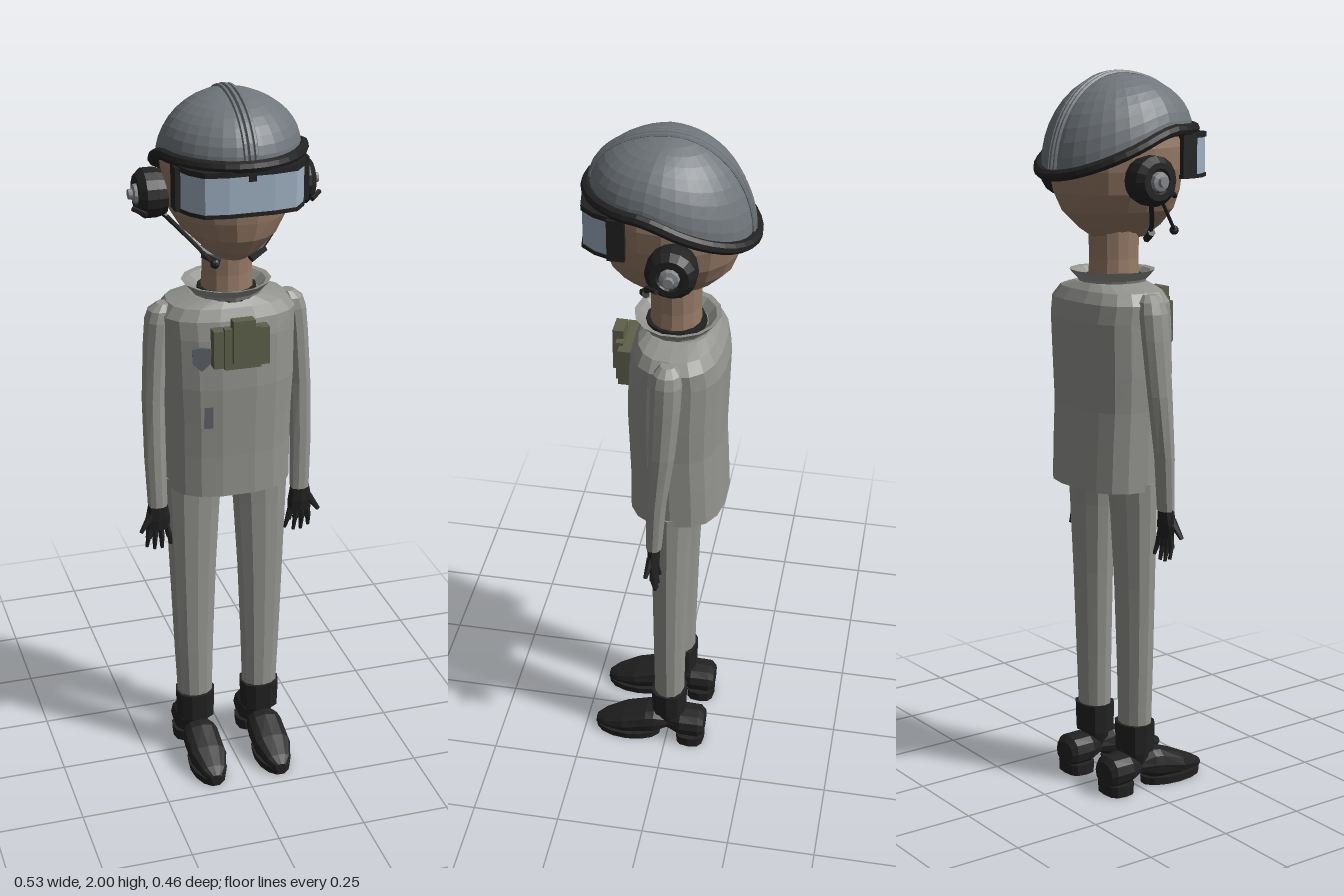
import * as THREE from 'three';

const mat = (name, color, side = THREE.FrontSide) => {
  const m = new THREE.MeshStandardMaterial({ color, side });
  m.name = name;
  return m;
};

export function createModel() {
  const suit = mat('suit grey', 0x93938f, THREE.DoubleSide);
  const shell = mat('helmet grey', 0x70767b, THREE.DoubleSide);
  const black = mat('black', 0x222222);
  const skin = mat('skin', 0x967a66);
  const glass = mat('visor glass', 0x9fb0c2);
  const olive = mat('pouch olive', 0x5e604b);
  const metal = mat('metal', 0x85888b);
  const badge = mat('badge', 0x62656c);

  const model = new THREE.Group();
  model.name = 'helmetedPilot';

  // Adds a faceted mesh
  const add = (name, geo, material, parent = model) => {
    const g = geo.index ? geo.toNonIndexed() : geo;
    g.computeVertexNormals();
    const mesh = new THREE.Mesh(g, material);
    mesh.name = name;
    parent.add(mesh);
    return mesh;
  };
  const group = (name) => {
    const g = new THREE.Group();
    g.name = name;
    model.add(g);
    return g;
  };

  // Closed skin over superellipse rings [y, cx, cz, rx, rz], lowest first
  const loft = (rings, n = 14, p = 2) => {
    const pos = [], idx = [];
    const pw = (v) => Math.sign(v) * Math.abs(v) ** (2 / p);
    for (const [y, cx, cz, rx, rz] of rings)
      for (let j = 0; j < n; j++) {
        const t = (j / n) * Math.PI * 2;
        pos.push(cx + rx * pw(Math.cos(t)), y, cz + rz * pw(Math.sin(t)));
      }
    const last = rings.length - 1;
    for (let j = 0; j < n; j++) {
      const k = (j + 1) % n;
      for (let i = 0; i < last; i++) {
        const a = i * n + j, b = i * n + k, c = a + n, d = b + n;
        idx.push(a, c, b, b, c, d);
      }
      idx.push((last + 1) * n, j, k, (last + 1) * n + 1, last * n + k, last * n + j);
    }
    for (const r of [rings[0], rings[last]]) pos.push(r[1], r[0], r[2]);
    const g = new THREE.BufferGeometry();
    g.setAttribute('position', new THREE.Float32BufferAttribute(pos, 3));
    g.setIndex(idx);
    return g;
  };

  // Tapered rod between two points
  const rod = (a, b, r0, r1 = r0, n = 6) => {
    const p = new THREE.Vector3(...a), q = new THREE.Vector3(...b);
    const d = q.clone().sub(p);
    const g = new THREE.CylinderGeometry(r1, r0, d.length(), n);
    g.applyQuaternion(new THREE.Quaternion().setFromUnitVectors(new THREE.Vector3(0, 1, 0), d.normalize()));
    const c = p.add(q).multiplyScalar(0.5);
    return g.translate(c.x, c.y, c.z);
  };
  const box = (w, h, d, x, y, z) => new THREE.BoxGeometry(w, h, d).translate(x, y, z);

  // Jacket, collar and neck
  add('jacket', loft([
    [0.88, 0, -0.023, 0.175, 0.134], [1.0, 0, -0.021, 0.176, 0.131], [1.1, 0, -0.017, 0.177, 0.13],
    [1.2, 0, -0.017, 0.182, 0.133], [1.34, 0, -0.022, 0.185, 0.132], [1.39, 0, -0.022, 0.188, 0.122],
    [1.42, 0, -0.02, 0.165, 0.105], [1.438, 0, -0.02, 0.1, 0.085]], 18, 2.6), suit);
  add('collar', new THREE.LatheGeometry([
    new THREE.Vector2(0.088, 1.42), new THREE.Vector2(0.098, 1.445), new THREE.Vector2(0.122, 1.47),
    new THREE.Vector2(0.108, 1.467), new THREE.Vector2(0.085, 1.445)], 14)
    .scale(1, 1, 0.95).translate(0, 0, -0.015), suit);
  add('neckBand', loft([[1.42, 0, -0.01, 0.085, 0.085], [1.455, 0, -0.01, 0.08, 0.08]]), black);
  add('neck', loft([[1.42, 0, -0.01, 0.073, 0.07], [1.5, 0, -0.01, 0.068, 0.066], [1.6, 0, -0.01, 0.07, 0.07]]), skin);

  // Head
  add('head', loft([
    [1.555, 0, 0.01, 0.05, 0.08], [1.585, 0, 0.01, 0.082, 0.125], [1.63, 0, 0.004, 0.128, 0.162],
    [1.68, 0, 0, 0.158, 0.177], [1.74, 0, -0.002, 0.173, 0.185], [1.8, 0, -0.003, 0.177, 0.188],
    [1.86, 0, -0.003, 0.165, 0.175], [1.91, 0, -0.003, 0.13, 0.14]], 18), skin);

  // Helmet dome above a brim that drops toward the back
  const brimY = (z) => 1.845 + Math.min(0, z - 0.03) * 0.47;
  const dome = (a, t, grow = 0) => {
    const z0 = 0.21 * Math.cos(a), y0 = brimY(z0), c = Math.cos(t * Math.PI / 2);
    return new THREE.Vector3((0.188 + grow) * Math.sin(a) * c,
      y0 + (1.992 + grow - y0) * Math.sin(t * Math.PI / 2), (z0 + grow * Math.cos(a)) * c);
  };
  const shellGeo = new THREE.PlaneGeometry(1, 1, 32, 10);
  const sp = shellGeo.attributes.position;
  for (let i = 0; i < sp.count; i++) {
    const v = dome(sp.getX(i) * Math.PI * 2, sp.getY(i) + 0.5);
    sp.setXYZ(i, v.x, v.y, v.z);
  }
  const helmet = group('helmet');
  add('helmetShell', shellGeo, shell, helmet);
  const brimPts = Array.from({ length: 28 }, (_, i) => {
    const a = (i / 28) * Math.PI * 2, z = 0.216 * Math.cos(a);
    return new THREE.Vector3(0.191 * Math.sin(a), brimY(z), z);
  });
  add('helmetBrim', new THREE.TubeGeometry(new THREE.CatmullRomCurve3(brimPts, true), 40, 0.016, 8, true), black, helmet);
  // Crest ribs over the crown
  for (const x of [-0.014, 0, 0.014]) {
    const arc = Array.from({ length: 21 }, (_, i) => {
      const v = i <= 10 ? dome(0, i / 10) : dome(Math.PI, 2 - i / 10);
      return v.setX(x);
    });
    add('crestRib', new THREE.TubeGeometry(new THREE.CatmullRomCurve3(arc), 24, x ? 0.006 : 0.008, 6), shell, helmet);
  }

  // Wraparound visor: bands extruded upward along a bent outline
  const band = (half, inset, y0, y1, grow = 0) => {
    const line = [...half.map(([x, z]) => [-x, z]), ...half.slice().reverse()];
    const outer = line.map(([x, z]) => new THREE.Vector2(x * (1 + grow), -z * (1 + grow)));
    const inner = line.map(([x, z]) => new THREE.Vector2(x * inset, -z * inset)).reverse();
    return new THREE.ExtrudeGeometry(new THREE.Shape([...outer, ...inner]), { depth: y1 - y0, bevelEnabled: false })
      .rotateX(-Math.PI / 2).translate(0, y0, 0);
  };
  const visor = group('visor');
  const outline = [[0.168, 0.1], [0.164, 0.135], [0.15, 0.17], [0.12, 0.207], [0.06, 0.217]];
  add('visorGlass', band(outline, 0.94, 1.724, 1.83), glass, visor);
  add('visorLowerFrame', band(outline, 0.92, 1.716, 1.726, 0.015), black, visor);
  add('visorUpperFrame', band(outline, 0.92, 1.822, 1.836, 0.015), black, visor);
  add('visorCatch', box(0.02, 0.02, 0.008, 0, 1.818, 0.218), black, visor);

  for (const s of [1, -1]) {
    const side = s > 0 ? 'left' : 'right';
    add(side + 'VisorHinge', box(0.016, 0.115, 0.045, s * 0.17, 1.775, 0.112), black, visor);

    // Headset ear cup with metal hub
    const ear = group(side + 'Earphone');
    const turned = (pts, n) => new THREE.LatheGeometry(pts.map((p) => new THREE.Vector2(...p)), n)
      .rotateZ(-s * Math.PI / 2).translate(0, 1.72, -0.034);
    add('earCup', turned([[0, 0.165], [0.06, 0.165], [0.066, 0.19], [0.066, 0.222], [0.05, 0.24], [0.034, 0.24], [0.03, 0.234], [0, 0.234]], 16), black, ear);
    add('earHub', turned([[0, 0.23], [0.027, 0.23], [0.025, 0.246], [0.014, 0.249], [0.013, 0.26], [0, 0.26]], 10), metal, ear);
    add('earLever', rod([s * 0.225, 1.68, 0.025], [s * 0.255, 1.69, -0.005], 0.007), black, ear);

    // Chin strap
    const strap = new THREE.CatmullRomCurve3([[0.18, 1.675, -0.02], [0.15, 1.645, 0.005], [0.09, 1.585, 0.05], [0.045, 1.55, 0.068]]
      .map(([x, y, z]) => new THREE.Vector3(s * x, y, z)));
    add(side + 'ChinStrap', new THREE.TubeGeometry(strap, 10, 0.007, 6), black);
    add(side + 'StrapEnd', rod([s * 0.085, 1.57, 0.055], [s * 0.042, 1.548, 0.07], 0.011), black);

    // Sleeve
    add(side + 'Sleeve', loft([
      [0.83, s * 0.207, 0.015, 0.028, 0.022], [0.98, s * 0.21, 0.007, 0.031, 0.027],
      [1.15, s * 0.209, -0.008, 0.032, 0.036], [1.3, s * 0.2, -0.016, 0.033, 0.041],
      [1.37, s * 0.193, -0.018, 0.034, 0.042], [1.4, s * 0.185, -0.018, 0.032, 0.036],
      [1.418, s * 0.175, -0.018, 0.018, 0.02]], 10), suit);

    // Gloved hand with splayed fingers
    const hand = group(side + 'Hand');
    add('palm', loft([[0.755, s * 0.208, 0.014, 0.034, 0.012], [0.79, s * 0.208, 0.016, 0.036, 0.017],
      [0.845, s * 0.207, 0.016, 0.026, 0.019]], 8), black, hand);
    [[0.183, 0.168, 0.7], [0.2, 0.194, 0.69], [0.216, 0.216, 0.69], [0.231, 0.238, 0.7]].forEach(([x0, x1, y]) => {
      add('finger', rod([s * x0, 0.765, 0.014], [s * (x0 + x1) / 2, 0.73, 0.014], 0.009), black, hand);
      add('fingertip', rod([s * (x0 + x1) / 2, 0.735, 0.014], [s * x1, y, 0.006], 0.008, 0.005), black, hand);
    });
    add('thumb', rod([s * 0.228, 0.805, 0.02], [s * 0.26, 0.758, 0.03], 0.012, 0.006), black, hand);

    // Trouser leg and boot cuff
    add(side + 'Leg', loft([
      [0.17, s * 0.098, -0.008, 0.051, 0.044], [0.35, s * 0.1, -0.009, 0.058, 0.047],
      [0.6, s * 0.1, -0.011, 0.068, 0.052], [0.8, s * 0.098, -0.014, 0.078, 0.058],
      [0.9, s * 0.095, -0.016, 0.085, 0.062]], 12), suit);
    add(side + 'Cuff', loft([[0.115, s * 0.098, -0.008, 0.055, 0.05], [0.16, s * 0.098, -0.008, 0.057, 0.051],
      [0.198, s * 0.098, -0.008, 0.058, 0.052]], 10, 2.5), black);

    // Boot: pinched upper running heel to toe, with separate soles
    const boot = group(side + 'Boot');
    add('bootUpper', loft([
      [-0.115, s * 0.098, -0.062, 0.04, 0.032], [-0.1, s * 0.098, -0.066, 0.05, 0.044],
      [-0.045, s * 0.098, -0.068, 0.052, 0.042], [-0.005, s * 0.098, -0.065, 0.034, 0.024],
      [0.035, s * 0.098, -0.067, 0.05, 0.046], [0.06, s * 0.098, -0.064, 0.054, 0.046],
      [0.13, s * 0.098, -0.048, 0.055, 0.034], [0.19, s * 0.098, -0.034, 0.036, 0.019],
      [0.216, s * 0.098, -0.026, 0.016, 0.011]], 12, 2.4).rotateX(Math.PI / 2), black, boot);
    add('ankle', loft([[0.06, s * 0.098, -0.005, 0.03, 0.03], [0.13, s * 0.098, -0.005, 0.046, 0.045]], 10), black, boot);
    add('toeSole', loft([[0, s * 0.098, 0.118, 0.05, 0.098], [0.022, s * 0.098, 0.118, 0.053, 0.1]], 14), black, boot);
    add('heelSole', loft([[0, s * 0.098, -0.073, 0.05, 0.042], [0.032, s * 0.098, -0.073, 0.052, 0.043]], 12, 3), black, boot);
  }

  // Boom microphone
  add('microphoneBoom', rod([-0.17, 1.67, 0.02], [-0.08, 1.572, 0.135], 0.005), black);
  add('microphone', new THREE.SphereGeometry(0.013, 8, 6).translate(-0.075, 1.57, 0.138), black);

  // Chest pouch and badges
  const pouch = group('chestPouch');
  add('pouchBack', box(0.154, 0.105, 0.035, 0, 1.325, 0.117), olive, pouch);
  add('pouchFront', box(0.1, 0.115, 0.02, 0, 1.328, 0.135), olive, pouch);
  add('pouchFlap', box(0.06, 0.12, 0.03, 0, 1.35, 0.142), olive, pouch);
  const shield = new THREE.Shape([[-0.026, 0.03], [0, 0.034], [0.026, 0.03], [0.024, -0.012], [0, -0.034], [-0.024, -0.012]]
    .reverse().map(([x, y]) => new THREE.Vector2(x, y)));
  add('shieldBadge', new THREE.ExtrudeGeometry(shield, { depth: 0.009, bevelEnabled: false })
    .rotateY(-0.22).translate(-0.1, 1.29, 0.094), badge);
  add('pocketTab', box(0.024, 0.062, 0.009, 0, 0, 0).rotateY(-0.18).translate(-0.083, 1.12, 0.103), badge);

  return model;
}
